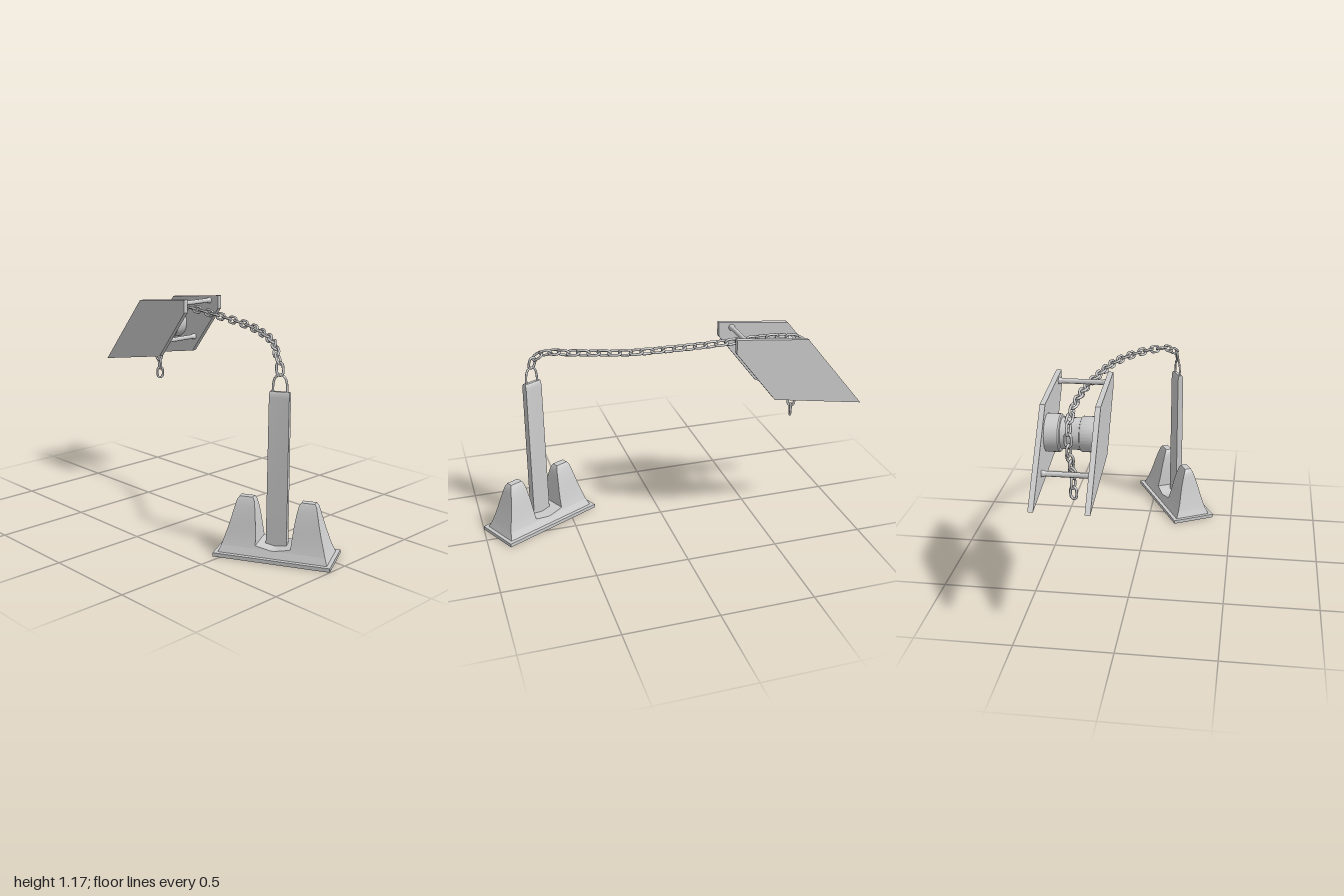
import * as THREE from 'three';
import { toCreasedNormals } from 'three/addons/utils/BufferGeometryUtils.js';

const grey = new THREE.MeshStandardMaterial({ color: 0xcccccc });

function part(parent, name, geometry, x = 0, y = 0, z = 0) {
  const mesh = new THREE.Mesh(geometry, grey);
  mesh.name = name;
  mesh.position.set(x, y, z);
  parent.add(mesh);
  return mesh;
}

// Loft through rectangles [y, halfWidth, zNear, zFar]
function loft(sections) {
  const rings = sections.map(([y, w, a, b]) => [[-w, y, b], [w, y, b], [w, y, a], [-w, y, a]]);
  const pos = [];
  const quad = (a, b, c, d) => pos.push(...a, ...b, ...c, ...a, ...c, ...d);
  for (let i = 0; i < rings.length - 1; i++) {
    for (let j = 0; j < 4; j++) {
      const k = (j + 1) % 4;
      quad(rings[i][j], rings[i][k], rings[i + 1][k], rings[i + 1][j]);
    }
  }
  quad(...rings[rings.length - 1]);
  quad(...[...rings[0]].reverse());
  const geo = new THREE.BufferGeometry();
  geo.setAttribute('position', new THREE.Float32BufferAttribute(pos, 3));
  return toCreasedNormals(geo, 0.5);
}

// Turned part lying along x, from [radius, x] points
function turned(points, segments) {
  const geo = new THREE.LatheGeometry(points.map(([r, x]) => new THREE.Vector2(r, x)), segments);
  geo.rotateZ(-Math.PI / 2);
  return toCreasedNormals(geo, 0.6);
}

// Flared footing with two horns, upright post and shackle
function createAnchor() {
  const anchor = new THREE.Group();
  anchor.name = 'anchor';
  part(anchor, 'basePlate', new THREE.BoxGeometry(0.253, 0.02, 0.6), 0, 0.01, 0);
  part(anchor, 'footing', loft([[0.02, 0.105, -0.28, 0.28], [0.055, 0.089, -0.267, 0.267]]));
  const horn = loft([
    [0.055, 0.089, 0.01, 0.267], [0.07, 0.084, 0.09, 0.262], [0.1, 0.075, 0.092, 0.253],
    [0.15, 0.063, 0.096, 0.238], [0.2, 0.052, 0.101, 0.225], [0.25, 0.038, 0.108, 0.213],
    [0.285, 0.026, 0.115, 0.204], [0.3, 0.018, 0.124, 0.194],
  ]);
  for (const turn of [0, Math.PI]) part(anchor, 'horn', horn).rotation.y = turn;
  part(anchor, 'post', loft([
    [0.045, 0.018, -0.054, 0.054], [0.82, 0.0165, -0.051, 0.051],
    [0.84, 0.014, -0.051, 0.051], [0.85, 0.009, -0.049, 0.049],
  ]));
  const arch = new THREE.CatmullRomCurve3([
    [0.83, -0.036], [0.89, -0.034], [0.92, -0.024], [0.934, 0],
    [0.92, 0.024], [0.89, 0.034], [0.83, 0.036],
  ].map(([y, z]) => new THREE.Vector3(0, y, z)));
  part(anchor, 'shackle', new THREE.TubeGeometry(arch, 20, 0.006, 8));
  anchor.position.set(-0.14, 0, 0.675);
  anchor.rotation.y = 0.475;
  return anchor;
}

// Two side plates joined by rods, with a stepped drum between them
function createPulley() {
  const pulley = new THREE.Group();
  pulley.name = 'pulleyFrame';
  const outline = new THREE.Shape([
    [-0.28, 1.175], [-0.67, 1.135], [-1, 0.737], [-0.5, 0.82], [-0.28, 1.1],
  ].map(([z, y]) => new THREE.Vector2(-z, y)));
  const plate = new THREE.ExtrudeGeometry(outline, { depth: 0.026, bevelEnabled: false });
  plate.rotateY(Math.PI / 2);
  for (const x of [0.1, 0.364]) part(pulley, 'sidePlate', plate, x);

  const rod = turned([
    [0.017, -0.123], [0.017, -0.112], [0.013, -0.1], [0.013, 0.1], [0.017, 0.112], [0.017, 0.123],
  ], 12);
  for (const [y, z] of [[1.142, -0.35], [0.91, -0.482], [0.84, -0.8]]) part(pulley, 'rod', rod, 0.245, y, z);

  part(pulley, 'drum', turned([
    [0.086, -0.123], [0.086, -0.054], [0.082, -0.048], [0.077, -0.046],
    [0.077, 0.046], [0.088, 0.048], [0.0925, 0.054], [0.0925, 0.123],
  ], 32), 0.245, 0.985, -0.643);
  return pulley;
}

// Links strung along a path, each a quarter turn from the last
function createChain() {
  const chain = new THREE.Group();
  chain.name = 'chain';
  const path = new THREE.CatmullRomCurve3([
    [-0.14, 0.922, 0.675], [-0.132, 0.98, 0.66], [-0.09, 1.028, 0.6], [0, 1.05, 0.495],
    [0.08, 1.064, 0.36], [0.15, 1.075, 0.2], [0.19, 1.086, 0.02], [0.213, 1.095, -0.15],
    [0.23, 1.104, -0.3], [0.24, 1.11, -0.5], [0.243, 1.1, -0.63], [0.243, 1.08, -0.7],
    [0.243, 1.03, -0.742], [0.243, 0.965, -0.748], [0.243, 0.89, -0.72], [0.243, 0.82, -0.682],
    [0.243, 0.75, -0.665], [0.243, 0.64, -0.66],
  ].map((p) => new THREE.Vector3(...p)));

  const loop = [];
  for (let i = 0; i < 12; i++) {
    const a = (i + 0.5) / 12 * Math.PI * 2;
    loop.push(new THREE.Vector3(
      0.0165 * Math.cos(a), 0.0165 * Math.sin(a) + 0.016 * Math.sign(Math.sin(a)), 0));
  }
  const link = new THREE.TubeGeometry(new THREE.CatmullRomCurve3(loop, true), 20, 0.0068, 6, true);

  const length = path.getLength();
  const size = 0.078;
  const count = Math.round((length - size) / 0.055) + 1;
  for (let i = 0; i < count; i++) {
    const u = (size / 2 + i * (length - size) / (count - 1)) / length;
    const along = path.getTangentAt(u);
    const side = new THREE.Vector3(1, 0, 0);
    side.addScaledVector(along, -side.dot(along)).normalize();
    const face = new THREE.Vector3().crossVectors(side, along);
    const mesh = part(chain, 'chainLink', link);
    mesh.position.copy(path.getPointAt(u));
    mesh.quaternion.setFromRotationMatrix(new THREE.Matrix4().makeBasis(side, along, face));
    mesh.rotateY(0.35 + ((count - 1 - i) % 2) * Math.PI / 2);
  }
  return chain;
}

export function createModel() {
  const model = new THREE.Group();
  model.name = 'anchoredChainPulley';
  model.add(createAnchor(), createPulley(), createChain());
  return model;
}
